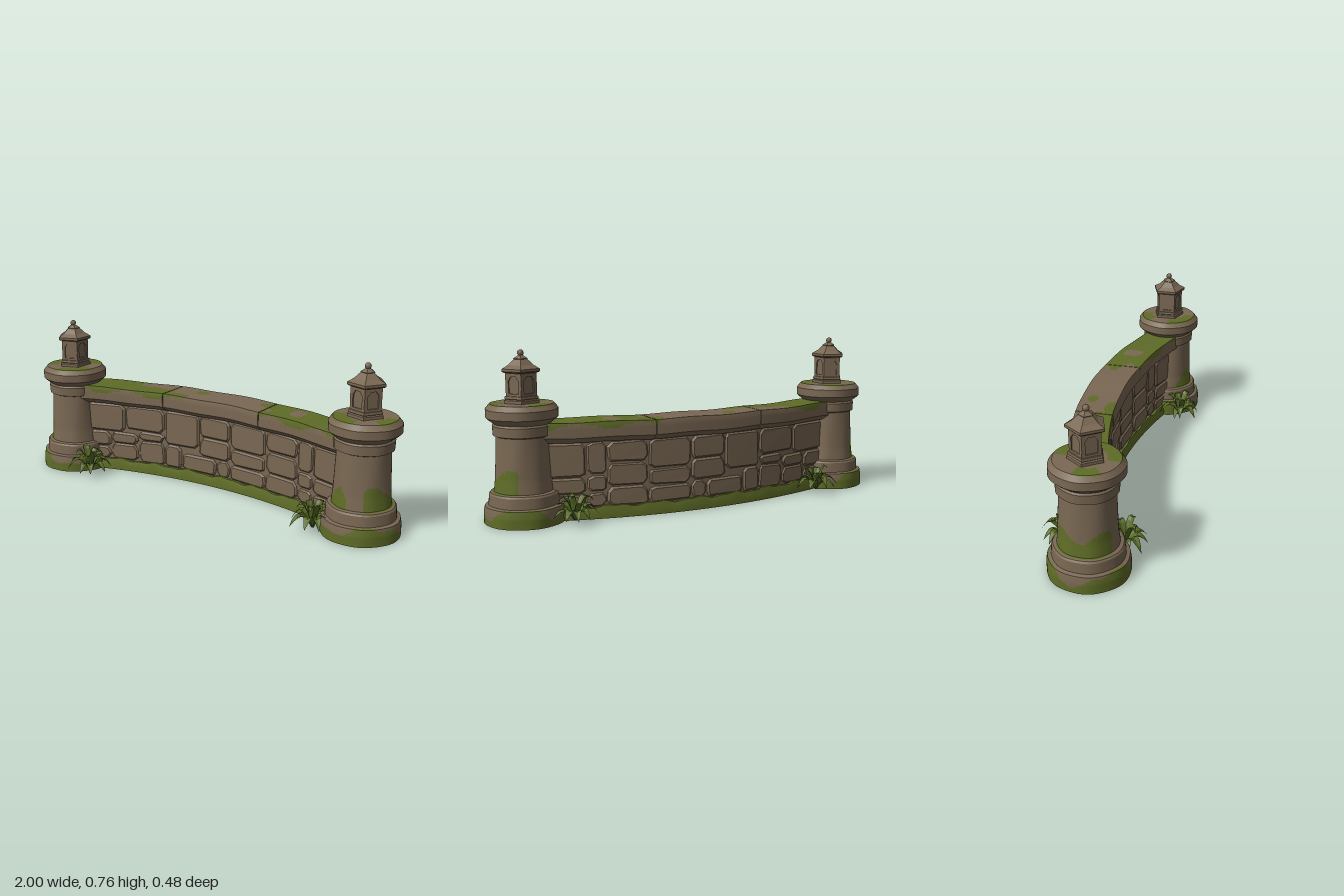
import * as THREE from 'three';
import { mergeGeometries, toCreasedNormals } from 'three/addons/utils/BufferGeometryUtils.js';

const flat = (name, color, extra = {}) => Object.assign(new THREE.MeshStandardMaterial({ color, ...extra }), { name });

export function createModel() {
  const stone = flat('stone', 0x7a6853);
  const moss = flat('moss', 0x5f6c27);
  const leafGreen = flat('leaf green', 0x566a24, { side: THREE.DoubleSide });
  const root = new THREE.Group();
  root.name = 'gardenWall';

  let seed = 7;
  const rand = () => (seed = (seed * 16807) % 2147483647) / 2147483647;
  const jitter = (a) => (rand() * 2 - 1) * a;

  const add = (parent, name, geo, mat) => {
    const m = new THREE.Mesh(geo, mat);
    m.name = name;
    parent.add(m);
    return m;
  };

  // Moves every vertex by a rule
  const warp = (geo, rule) => {
    const p = geo.attributes.position, v = new THREE.Vector3();
    for (let i = 0; i < p.count; i++) {
      rule(v.fromBufferAttribute(p, i));
      p.setXYZ(i, v.x, v.y, v.z);
    }
    return geo;
  };
  // The wall follows a shallow arc, bowing backward in the middle
  const bend = (v) => { v.z += -0.13 + (v.x * v.x) / 4.4; };
  const faceted = (geo) => {
    const g = geo.index ? geo.toNonIndexed() : geo;
    g.computeVertexNormals();
    return g;
  };

  // Splits triangles into a stone group and a moss group by a rule on their centre
  const paint = (geo, isMoss) => {
    const g = geo.index ? geo.toNonIndexed() : geo;
    const p = g.attributes.position, sets = [[], []];
    for (let i = 0; i < p.count; i += 3) {
      const c = [0, 1, 2].map((k) => (p.array[i * 3 + k] + p.array[i * 3 + 3 + k] + p.array[i * 3 + 6 + k]) / 3);
      sets[isMoss(...c) ? 1 : 0].push(i, i + 1, i + 2);
    }
    g.setIndex([...sets[0], ...sets[1]]);
    g.clearGroups();
    g.addGroup(0, sets[0].length, 0);
    g.addGroup(sets[0].length, sets[1].length, 1);
    return g;
  };

  // ---- Wall ----
  const wall = new THREE.Group();
  wall.name = 'wall';
  root.add(wall);

  const strip = (x0, x1, y0, y1, half, ny = 1, nz = 1) =>
    new THREE.BoxGeometry(x1 - x0, y1 - y0, half * 2, Math.ceil((x1 - x0) / 0.012), ny, nz)
      .translate((x0 + x1) / 2, (y0 + y1) / 2, 0);

  add(wall, 'wallCore', toCreasedNormals(warp(strip(-0.78, 0.78, 0.02, 0.37, 0.043), bend), 0.5), stone);

  // Mossy plinth with a worn top edge
  const plinth = warp(strip(-0.78, 0.78, 0, 0.055, 0.064, 2), (v) => {
    if (v.y > 0.05) { v.y += 0.005 * Math.sin(v.x * 31) + 0.003 * Math.sin(v.x * 67); v.z *= 0.9; }
    bend(v);
  });
  add(wall, 'plinth', toCreasedNormals(plinth, 0.5), moss);

  // Irregular stones running through the wall: x0, x1, y0, y1
  const blocks = [
    [-0.76, -0.52, 0.2, 0.35], [-0.52, -0.3, 0.22, 0.35], [-0.3, -0.1, 0.17, 0.35], [-0.1, 0.08, 0.24, 0.35],
    [0.08, 0.29, 0.21, 0.35], [0.29, 0.48, 0.25, 0.35], [0.48, 0.57, 0.2, 0.35], [0.57, 0.76, 0.19, 0.35],
    [-0.76, -0.6, 0.12, 0.2], [-0.6, -0.45, 0.14, 0.2], [-0.45, -0.3, 0.17, 0.22], [-0.1, 0.08, 0.14, 0.24],
    [0.08, 0.29, 0.13, 0.21], [0.29, 0.48, 0.14, 0.25], [0.48, 0.57, 0.12, 0.2], [0.57, 0.76, 0.11, 0.19],
    [-0.76, -0.6, 0.05, 0.12], [-0.6, -0.45, 0.05, 0.14], [-0.45, -0.3, 0.05, 0.17], [-0.3, -0.2, 0.05, 0.17],
    [-0.2, 0, 0.05, 0.14], [0, 0.08, 0.05, 0.14], [0.08, 0.29, 0.05, 0.13], [0.29, 0.48, 0.05, 0.14],
    [0.48, 0.57, 0.05, 0.12], [0.57, 0.76, 0.05, 0.11],
  ];
  const stones = blocks.map(([x0, x1, y0, y1]) => {
    const b = 0.011, c = 0.014, pts = [];
    [[x0 + b, y0 + b, 1, 1], [x1 - b, y0 + b, -1, 1], [x1 - b, y1 - b, -1, -1], [x0 + b, y1 - b, 1, -1]]
      .forEach(([x, y, sx, sy], i) => {
        const along = new THREE.Vector2(x + sx * (c + jitter(0.007)), y + jitter(0.003));
        const up = new THREE.Vector2(x + jitter(0.003), y + sy * (c + jitter(0.006)));
        pts.push(...(i % 2 ? [along, up] : [up, along]));
      });
    const depth = 0.086 + jitter(0.006);
    const g = new THREE.ExtrudeGeometry(new THREE.Shape(pts),
      { depth, bevelThickness: 0.009, bevelSize: 0.009, bevelSegments: 1 });
    return warp(g.translate(0, 0, -depth / 2), bend);
  });
  add(wall, 'wallStones', faceted(mergeGeometries(stones)), stone);

  // Coping slabs with a tapered underside and mossy ends
  const spot = (x, z, cx, cz, rx, rz) => ((x - cx) / rx) ** 2 + ((z - cz) / rz) ** 2 < 1;
  const copingMoss = (x, y, z) => {
    if (y < 0.425 + 0.012 * Math.sin(x * 23)) return false;
    const w = z + 0.13 - (x * x) / 4.4;
    if (spot(x, w, 0.44, -0.01, 0.04, 0.05) || spot(x, w, -0.43, -0.05, 0.05, 0.035)) return false;
    return x < -0.33 + 1.3 * w + 0.04 * Math.sin(w * 70) || x > 0.26 + 0.5 * w + 0.04 * Math.sin(w * 60)
      || spot(x, w, -0.13, -0.03, 0.035, 0.025) || spot(x, w, -0.22, 0.07, 0.07, 0.03);
  };
  [[-0.77, -0.282], [-0.278, 0.268], [0.272, 0.77]].forEach(([x0, x1]) => {
    const g = warp(strip(x0, x1, 0.35, 0.443, 0.09, 6, 18), (v) => {
      if (v.y < 0.355) v.z *= 0.66;
      else if (v.y < 0.37) v.y = 0.375;
      else if (v.y > 0.44) v.z *= 0.96;
      v.y += 0.002 * Math.sin(v.x * 17);
      bend(v);
    });
    add(wall, 'copingSlab', paint(toCreasedNormals(g, 0.4), copingMoss), [stone, moss]);
  });

  // ---- Pillars ----
  const pillarProfile = [[0, 0], [0.178, 0], [0.178, 0.05], [0.173, 0.078], [0.157, 0.083], [0.154, 0.13],
    [0.148, 0.138], [0.132, 0.142], [0.126, 0.2], [0.118, 0.385], [0.13, 0.39], [0.132, 0.432], [0.126, 0.44],
    [0.149, 0.458], [0.159, 0.468], [0.159, 0.505], [0.14, 0.528], [0, 0.53]];
  const dense = (pts) => pts.flatMap(([r, y], i) => {
    const [r1, y1] = pts[i + 1] ?? [r, y];
    const n = Math.max(1, Math.ceil(Math.hypot(r1 - r, y1 - y) / 0.012));
    return Array.from({ length: n }, (_, k) => new THREE.Vector2(r + ((r1 - r) * k) / n, y + ((y1 - y) * k) / n));
  });
  const pillarMoss = (side) => (x, y, z) => {
    const a = Math.atan2(z, x * side), r = Math.hypot(x, z);
    if (y < 0.081) return y < 0.062 + 0.026 * Math.sin(a * 3 - 1.2) + 0.012 * Math.sin(a * 7);
    if (y > 0.14 && y < 0.3) {
      return (Math.abs(a) < 1.05 && y < 0.225 + 0.025 * Math.cos(a * 4 + Math.PI))
        || (side > 0 && Math.abs(a - 2.1) < 0.45 && y < 0.24 - 0.15 * Math.abs(a - 2));
    }
    return y > 0.524 && r > 0.085 && Math.sin(a * 3 + 1) + 0.6 * Math.sin(a * 5) > -0.1;
  };

  // Five-sided lantern, stacked as one faceted profile
  const lanternProfile = [[0, 0.525], [0.08, 0.525], [0.08, 0.542], [0.073, 0.546], [0.077, 0.549], [0.075, 0.56],
    [0.063, 0.563], [0.063, 0.66], [0.08, 0.663], [0.086, 0.668], [0.086, 0.679], [0.078, 0.683], [0.057, 0.695],
    [0.041, 0.71], [0.031, 0.719], [0.033, 0.722], [0.014, 0.734], [0.008, 0.737], [0.008, 0.744]];
  const frameShape = new THREE.Shape([[-0.04, 0], [0.04, 0], [0.042, 0.1], [-0.042, 0.1]].map((p) => new THREE.Vector2(...p)));
  frameShape.holes.push(new THREE.Path([[-0.026, 0.012], [-0.026, 0.068], [-0.013, 0.086], [0.013, 0.086],
    [0.026, 0.068], [0.026, 0.012]].map((p) => new THREE.Vector2(...p))));

  const makeLantern = () => {
    const g = new THREE.Group();
    g.name = 'lantern';
    const body = new THREE.LatheGeometry(lanternProfile.map((p) => new THREE.Vector2(...p)), 5, Math.PI / 2);
    add(g, 'lanternBody', faceted(body), stone);
    for (let i = 0; i < 5; i++) {
      const f = add(g, 'windowFrame', new THREE.ExtrudeGeometry(frameShape, { depth: 0.007, bevelEnabled: false })
        .translate(0, 0.56, 0.05), stone);
      f.rotation.y = Math.PI / 2 + ((i + 0.5) * Math.PI * 2) / 5;
    }
    add(g, 'finial', new THREE.IcosahedronGeometry(0.0145, 1).translate(0, 0.746, 0), stone);
    return g;
  };

  for (const side of [-1, 1]) {
    const pillar = new THREE.Group();
    pillar.name = side > 0 ? 'leftPillar' : 'rightPillar';
    pillar.position.set(side * 0.822, 0, 0.01);
    root.add(pillar);
    const shaft = warp(new THREE.LatheGeometry(dense(pillarProfile), 64), (v) => {
      const a = Math.atan2(v.z, v.x), k = 1 + 0.008 * Math.sin(a * 7 + v.y * 9) - 0.004;
      v.x *= k;
      v.z *= k;
    });
    add(pillar, 'pillarBody', paint(toCreasedNormals(shaft, 0.45), pillarMoss(side)), [stone, moss]);
    const lantern = makeLantern();
    if (side < 0) lantern.rotation.y = Math.PI;
    pillar.add(lantern);
  }

  // ---- Leafy plants at the feet of the pillars ----
  const leaf = (angle, reach, rise, width, droop) => {
    const pos = [], idx = [], n = 6;
    for (let i = 0; i <= n; i++) {
      const t = i / n, w = width * Math.sin(Math.PI * (0.08 + 0.92 * t)) ** 0.8;
      const y = 0.012 + rise * Math.sin(Math.PI * droop * t);
      for (const s of [-1, 0, 1]) {
        const d = reach * t;
        pos.push(Math.cos(angle) * d - Math.sin(angle) * w * s, Math.max(0.004, y + Math.abs(s) * w * 0.35),
          Math.sin(angle) * d + Math.cos(angle) * w * s);
      }
      if (i < n) for (const k of [0, 1]) {
        const a = i * 3 + k;
        idx.push(a, a + 1, a + 3, a + 1, a + 4, a + 3);
      }
    }
    const g = new THREE.BufferGeometry();
    g.setAttribute('position', new THREE.Float32BufferAttribute(pos, 3));
    g.setIndex(idx);
    return faceted(g);
  };
  for (const side of [-1, 1]) for (const z of [0.12, -0.15]) {
    const leaves = [];
    for (let i = 0; i < 9; i++) {
      leaves.push(leaf((i / 9) * Math.PI * 2 + jitter(0.2), 0.105 + jitter(0.012), 0.06 + jitter(0.015), 0.02, 0.9));
    }
    for (let i = 0; i < 6; i++) {
      leaves.push(leaf((i / 6) * Math.PI * 2 + 0.4 + jitter(0.3), 0.07 + jitter(0.015), 0.105 + jitter(0.02), 0.017, 0.68));
    }
    add(root, 'plant', mergeGeometries(leaves), leafGreen).position.set(side * 0.645, 0, z);
  }
  return root;
}
